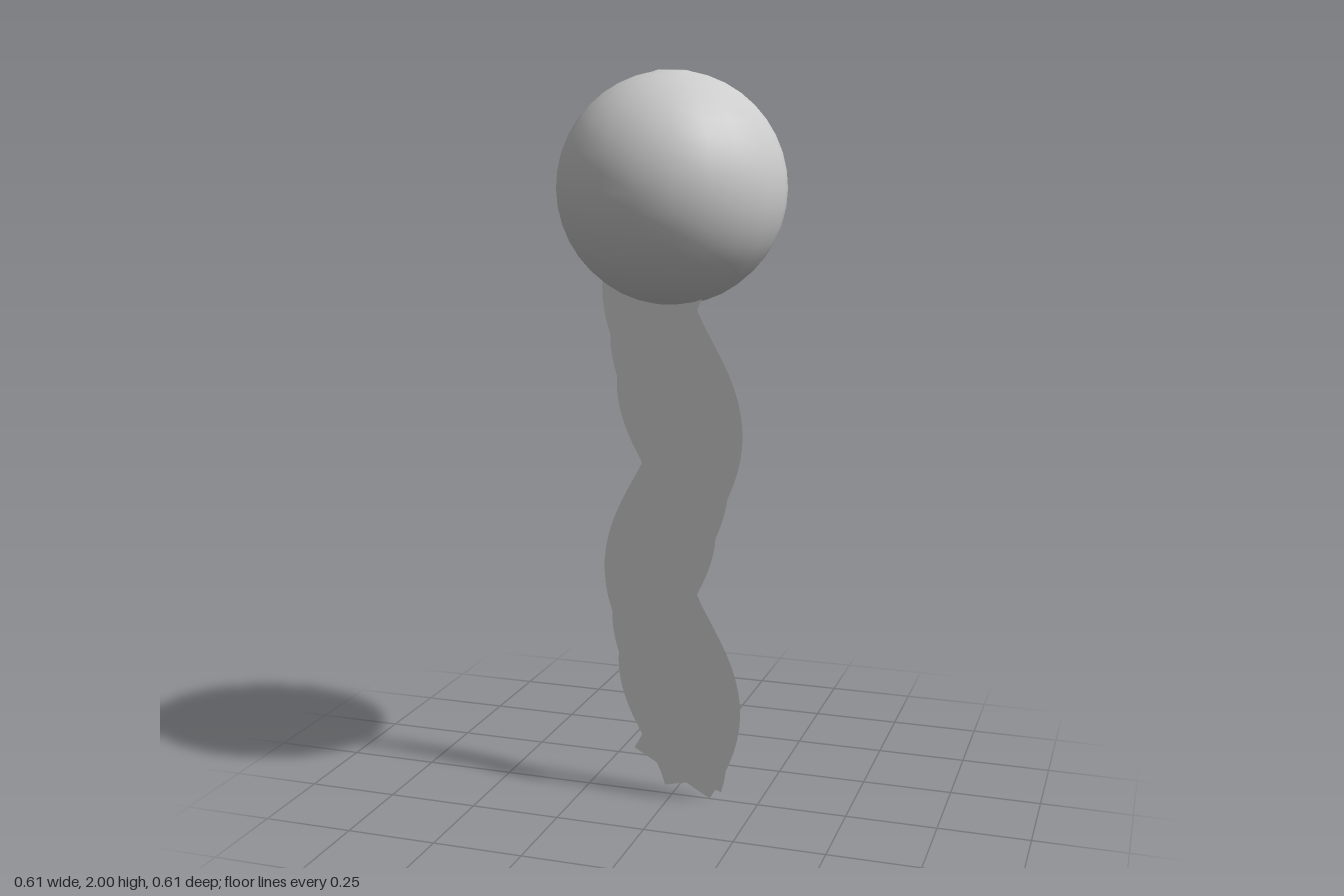
import * as THREE from 'three';

const grey = new THREE.MeshStandardMaterial({ color: 0xcccccc });
grey.name = 'light grey';
const greyRibbon = grey;
greyRibbon.side = THREE.DoubleSide;

// Flat wavy ribbon whose edges stay square to its centre line
function ribbon(name, width, phase, z) {
  const amplitude = 0.07, k = (Math.PI * 2) / 0.78, y0 = 0.064, y1 = 1.6, steps = 64;
  const geometry = new THREE.PlaneGeometry(1, 1, 1, steps);
  const pos = geometry.attributes.position;
  for (let i = 0; i < pos.count; i++) {
    const y = y0 + (y1 - y0) * (pos.getY(i) + 0.5);
    const angle = k * (y - y0) + phase;
    const slope = amplitude * k * Math.cos(angle);
    const offset = (pos.getX(i) * width) / Math.hypot(1, slope);
    pos.setXYZ(i, amplitude * Math.sin(angle) + offset, y - slope * offset, z);
  }
  geometry.computeVertexNormals();
  const mesh = new THREE.Mesh(geometry, greyRibbon);
  mesh.name = name;
  return mesh;
}

// Round head with a small sunken dimple at each pole
function head() {
  const R = 0.305, points = [];
  points.push(new THREE.Vector2(0, -R + 0.012), new THREE.Vector2(0.036, -R + 0.012));
  for (let i = 1; i < 20; i++) {
    const a = (i * Math.PI) / 20;
    points.push(new THREE.Vector2(R * Math.sin(a), -R * Math.cos(a)));
  }
  points.push(new THREE.Vector2(0.036, R - 0.012), new THREE.Vector2(0, R - 0.012));
  // thin lip around each dimple
  points.splice(2, 0, new THREE.Vector2(0.041, -R + 0.001));
  points.splice(points.length - 2, 0, new THREE.Vector2(0.041, R - 0.001));
  const mesh = new THREE.Mesh(new THREE.LatheGeometry(points, 20), grey);
  mesh.name = 'head';
  mesh.position.y = 1.695;
  return mesh;
}

export function createModel() {
  const model = new THREE.Group();
  model.name = 'ball with wavy ribbons';
  model.add(head());
  // Ribbons narrow towards the front, each a step out of phase
  model.add(ribbon('backRibbon', 0.256, 0, 0));
  model.add(ribbon('middleRibbon', 0.194, 1, 0.025));
  model.add(ribbon('frontRibbon', 0.14, 2, 0.05));
  return model;
}
